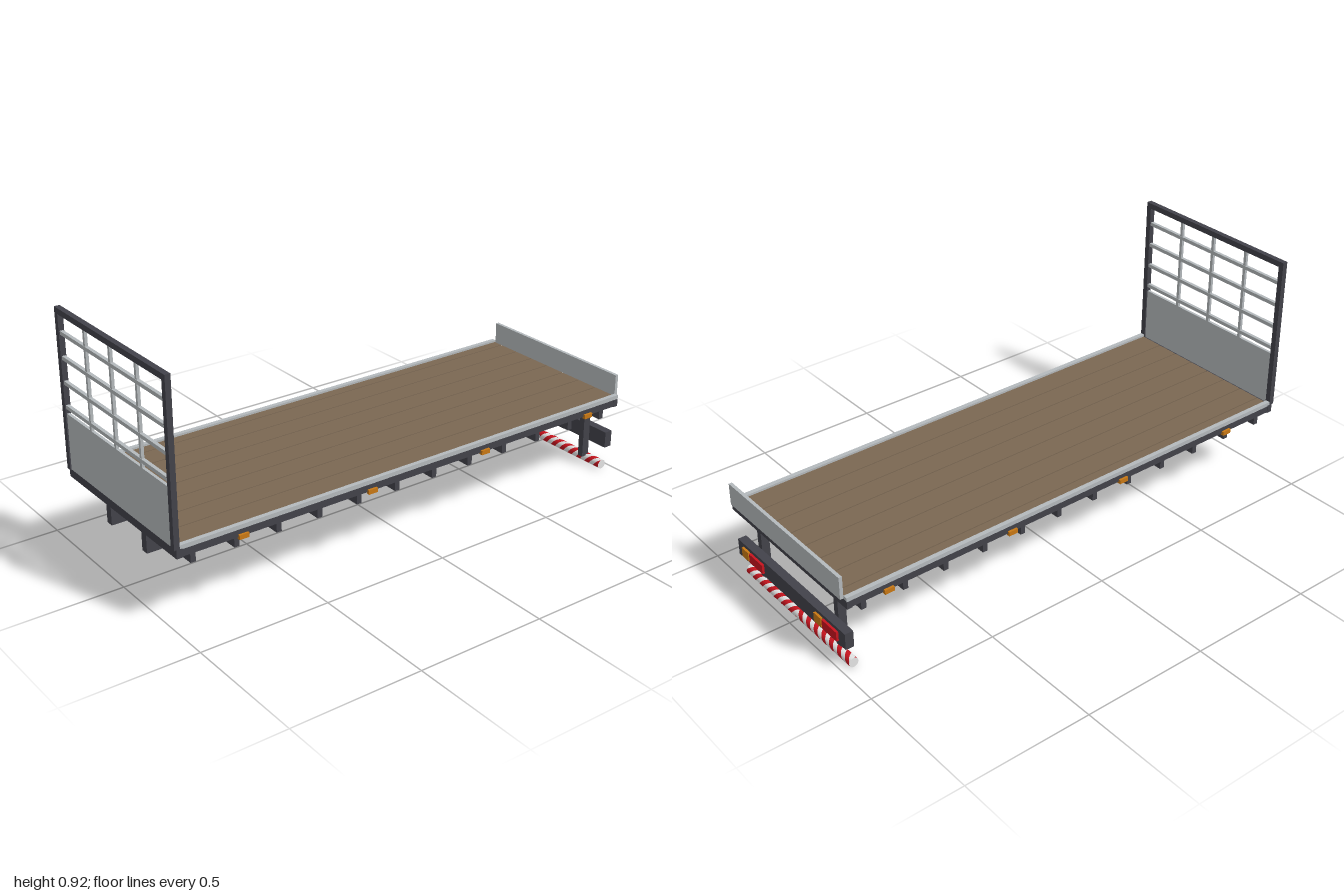
import * as THREE from 'three';

const mat = (name, color, extra = {}) => {
  const m = new THREE.MeshStandardMaterial({ color, ...extra });
  m.name = name;
  return m;
};

export function createModel() {
  const steel = mat('dark steel', 0x42424a);
  const alu = mat('light aluminium', 0xb4b9bc);
  const wood = mat('deck wood', 0x7a6752);
  const under = mat('underside black', 0x222226);
  const orange = mat('amber lens', 0xc87814);
  const red = mat('red', 0xc8141e);
  const white = mat('white', 0xe4e4e4);

  const root = new THREE.Group();
  root.name = 'flatbedBody';

  // Box given by its minimum and maximum on each axis
  const box = (name, m, [x0, x1], [y0, y1], [z0, z1], parent = root) => {
    const mesh = new THREE.Mesh(new THREE.BoxGeometry(x1 - x0, y1 - y0, z1 - z0), m);
    mesh.position.set((x0 + x1) / 2, (y0 + y1) / 2, (z0 + z1) / 2);
    mesh.name = name;
    parent.add(mesh);
    return mesh;
  };
  const span = (c, w) => [c - w / 2, c + w / 2];
  const group = (name) => {
    const g = new THREE.Group();
    g.name = name;
    root.add(g);
    return g;
  };

  // Deck: dark base, planks with narrow gaps, edge beams and light rims
  const deck = group('deck');
  box('deckBase', under, [-0.35, 0.35], [0.277, 0.304], [-0.965, 0.97], deck);
  const seams = [-0.348, -0.304, -0.212, -0.121, -0.029, 0.063, 0.155, 0.247, 0.348];
  for (let i = 0; i < seams.length - 1; i++) {
    box('plank', wood, [seams[i] + 0.002, seams[i + 1] - 0.002], [0.303, 0.314], [-0.98, 0.975], deck);
  }
  box('frontBeam', steel, [-0.366, 0.366], [0.275, 0.308], [0.97, 0.992], deck);
  box('rearBeam', steel, [-0.365, 0.365], [0.275, 0.308], [-0.985, -0.965], deck);
  for (const s of [-1, 1]) {
    box('sideBeam', steel, span(s * 0.356, 0.016), [0.277, 0.306], [-0.965, 0.97], deck);
    box('sideRim', alu, span(s * 0.3565, 0.018), [0.305, 0.321], [-0.985, 0.98], deck);
  }

  // Amber side markers
  for (const s of [-1, 1]) {
    for (const z of [0.74, 0.211, -0.304, -0.823]) {
      box('sideMarker', orange, span(s * 0.366, 0.014), [0.27, 0.287], span(z, 0.038));
    }
  }

  // Chassis rails and crossmembers
  const chassis = group('chassis');
  for (const s of [-1, 1]) {
    box('chassisRail', steel, span(s * 0.121, 0.031), [0.185, 0.277], [-0.925, 0.975], chassis);
  }
  for (let i = 0; i < 12; i++) {
    box('crossmember', steel, [-0.351, 0.351], [0.235, 0.277], span(0.924 - i * 0.167, 0.02), chassis);
  }

  // Headboard: frame, lower panel and grille
  const head = group('headboard');
  for (const s of [-1, 1]) {
    box('headPost', steel, span(s * 0.3555, 0.021), [0.308, 0.915], [0.979, 1], head);
  }
  box('headTopBar', steel, [-0.345, 0.345], [0.893, 0.915], [0.979, 1], head);
  box('headPanel', alu, [-0.345, 0.345], [0.31, 0.525], [0.984, 0.995], head);
  for (const y of [0.55, 0.641, 0.733, 0.825]) {
    box('grilleBar', alu, [-0.345, 0.345], span(y, 0.014), [0.983, 0.996], head);
  }
  for (const x of [-0.171, 0, 0.171]) {
    box('grilleUpright', alu, span(x, 0.012), [0.525, 0.893], [0.984, 0.995], head);
  }

  // Tailboard
  box('tailboard', alu, [-0.347, 0.347], [0.31, 0.397], [-0.998, -0.985]);

  // Rear underrun guard with its lamp bar
  const guard = group('underrunGuard');
  for (const s of [-1, 1]) {
    box('guardPost', steel, span(s * 0.244, 0.024), [0.03, 0.277], [-0.955, -0.923], guard);
  }
  box('lampBar', steel, [-0.343, 0.343], [0.095, 0.16], [-0.988, -0.955], guard);
  for (const x of [-0.235, 0.235]) {
    box('indicatorLamp', orange, span(x + 0.048, 0.044), [0.11, 0.147], [-0.997, -0.987], guard);
    box('tailLamp', red, span(x - 0.024, 0.088), [0.11, 0.147], [-0.997, -0.987], guard);
  }

  // Striped tube: helical bands, mirrored about the middle
  const half = 0.333, r = 0.0185, pitch = 0.048, steps = 24;
  const bands = (first) => {
    const pos = [], normal = [], index = [];
    for (const s of [-1, 1]) {
      for (let k = -4; k < 8; k++) {
        const start = k * pitch + first;
        const base = pos.length / 3;
        for (let i = 0; i <= steps; i++) {
          const a = (i / steps) * Math.PI * 2;
          for (const w of [0, pitch / 2]) {
            const x = THREE.MathUtils.clamp(start + w + (i / steps) * pitch * 2, 0, half);
            pos.push(s * x, -r * Math.cos(a), r * Math.sin(a));
            normal.push(0, -Math.cos(a), Math.sin(a));
          }
          if (i < steps) {
            const p = base + i * 2;
            if (s > 0) index.push(p, p + 1, p + 2, p + 1, p + 3, p + 2);
            else index.push(p, p + 2, p + 1, p + 1, p + 2, p + 3);
          }
        }
      }
    }
    const g = new THREE.BufferGeometry();
    g.setAttribute('position', new THREE.Float32BufferAttribute(pos, 3));
    g.setAttribute('normal', new THREE.Float32BufferAttribute(normal, 3));
    g.setIndex(index);
    return g;
  };
  red.side = white.side = THREE.DoubleSide;
  const tube = new THREE.Group();
  tube.name = 'stripedTube';
  tube.position.set(0, r, -0.955);
  guard.add(tube);
  for (const [name, m, first] of [['redStripes', red, 0], ['whiteStripes', white, pitch / 2]]) {
    const mesh = new THREE.Mesh(bands(first), m);
    mesh.name = name;
    tube.add(mesh);
  }
  for (const s of [-1, 1]) {
    const cap = new THREE.Mesh(new THREE.CircleGeometry(r, steps), white);
    cap.rotation.y = s * Math.PI / 2;
    cap.position.x = s * half;
    cap.name = 'tubeCap';
    tube.add(cap);
  }

  return root;
}
